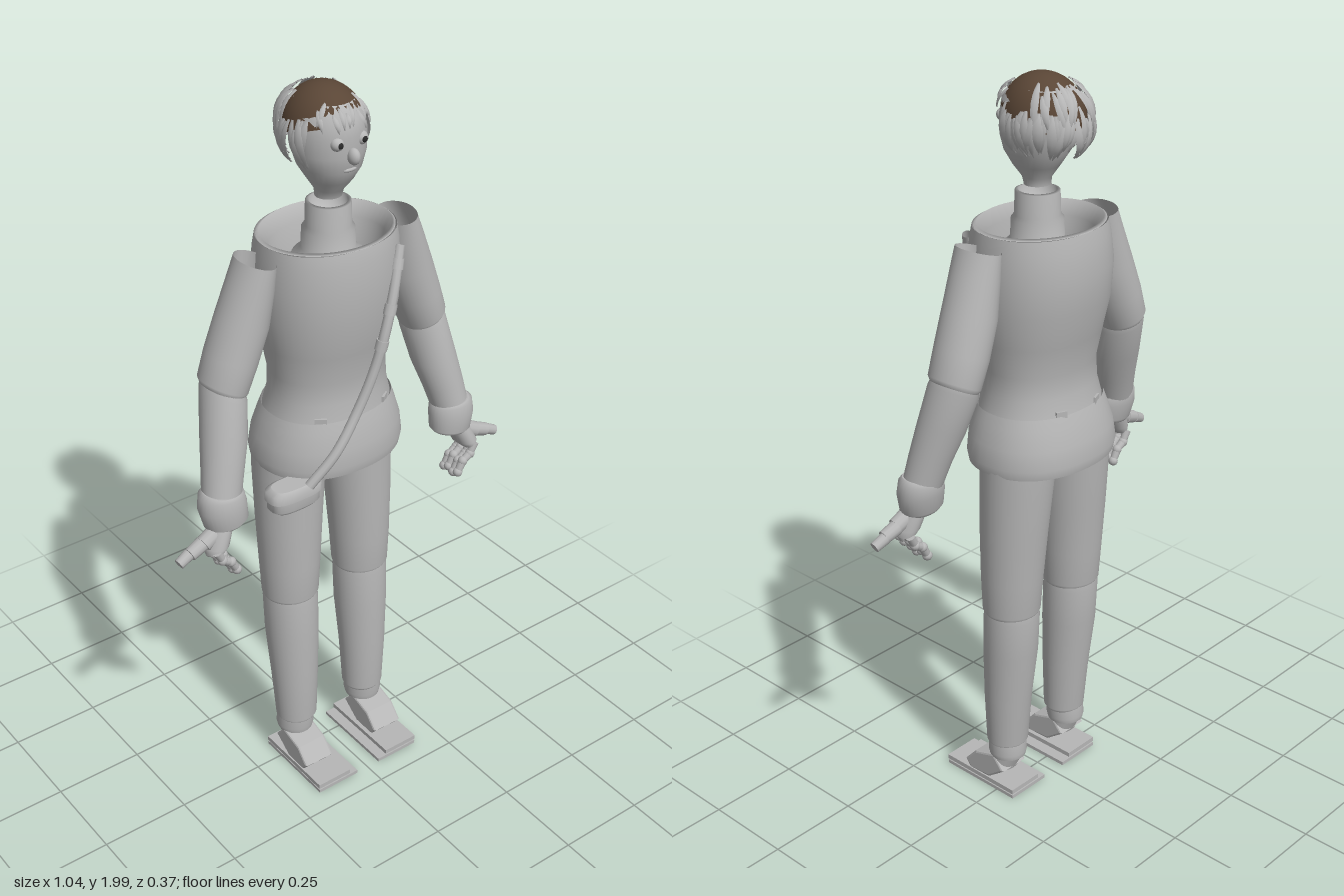
import * as THREE from 'three';

const cloth = new THREE.MeshStandardMaterial({ color: 0xb6b6b6, side: THREE.DoubleSide });
cloth.name = 'plain grey';
const brown = new THREE.MeshStandardMaterial({ color: 0x5a4636 });
brown.name = 'hair brown';
const dark = new THREE.MeshStandardMaterial({ color: 0x2a2a2a });
dark.name = 'pupil dark';

// Rings run from bottom to top: [x, y, z, radiusX, radiusZ, tilt]
function loft(rings, { n = 32, power = 2, capBottom = false, capTop = false } = {}) {
  const pos = [], idx = [];
  const addRing = ([x, y, z, rx, rz, tilt = 0]) => {
    for (let i = 0; i < n; i++) {
      const a = (i / n) * Math.PI * 2, c = Math.cos(a), s = Math.sin(a);
      const u = Math.sign(c) * Math.abs(c) ** (2 / power) * rx;
      const w = Math.sign(s) * Math.abs(s) ** (2 / power) * rz;
      pos.push(x + u * Math.cos(tilt), y + u * Math.sin(tilt), z + w);
    }
  };
  rings.forEach(addRing);
  for (let r = 0; r < rings.length - 1; r++) {
    for (let i = 0; i < n; i++) {
      const a = r * n + i, b = r * n + ((i + 1) % n);
      idx.push(a, a + n, b, b, a + n, b + n);
    }
  }
  const cap = (ring, up) => {
    const base = pos.length / 3;
    addRing(ring);
    pos.push(ring[0], ring[1], ring[2]);
    for (let i = 0; i < n; i++) {
      const a = base + i, b = base + ((i + 1) % n);
      idx.push(base + n, up ? b : a, up ? a : b);
    }
  };
  if (capBottom) cap(rings[0], false);
  if (capTop) cap(rings[rings.length - 1], true);
  const g = new THREE.BufferGeometry();
  g.setAttribute('position', new THREE.Float32BufferAttribute(pos, 3));
  g.setIndex(idx);
  g.computeVertexNormals();
  return g;
}

function add(parent, name, geometry, material = cloth) {
  const m = new THREE.Mesh(geometry, material);
  m.name = name;
  parent.add(m);
  return m;
}

// Straight tapered segment between two points
function segment(parent, name, a, b, ra, rb) {
  const p = new THREE.Vector3(...a), q = new THREE.Vector3(...b), d = q.clone().sub(p);
  const m = add(parent, name, new THREE.CylinderGeometry(rb, ra, d.length(), 12));
  m.position.copy(p).add(q).multiplyScalar(0.5);
  m.quaternion.setFromUnitVectors(new THREE.Vector3(0, 1, 0), d.normalize());
  return m;
}

function buildTorso(root) {
  const g = new THREE.Group();
  g.name = 'jacket';
  root.add(g);
  add(g, 'jacketBody', loft([
    [0, 1.15, -0.01, 0.172, 0.138], [0, 1.2, -0.008, 0.16, 0.128], [0, 1.26, -0.008, 0.158, 0.125],
    [0, 1.34, -0.008, 0.172, 0.142], [0, 1.43, -0.01, 0.187, 0.16], [0, 1.52, -0.012, 0.19, 0.165],
    [0, 1.59, -0.01, 0.185, 0.158], [0, 1.625, -0.01, 0.18, 0.15]], { n: 48, power: 2.15 }));
  add(g, 'jacketLining', loft([
    [0, 1.625, -0.01, 0.18, 0.15], [0, 1.63, -0.01, 0.172, 0.143],
    [0, 1.59, -0.005, 0.155, 0.125], [0, 1.5, 0, 0.146, 0.118]], { n: 48 }));
  add(g, 'jacketSkirt', loft([
    [0, 1.005, -0.015, 0.203, 0.163], [0, 1.03, -0.015, 0.207, 0.168], [0, 1.08, -0.013, 0.2, 0.163],
    [0, 1.13, -0.011, 0.184, 0.15], [0, 1.158, -0.01, 0.174, 0.141]], { n: 48, power: 2.2 }));
  add(g, 'pelvis', loft([[0, 1.02, -0.015, 0.19, 0.15], [0, 1.06, -0.015, 0.19, 0.15]], { capBottom: true }));
  add(g, 'neck', new THREE.LatheGeometry([
    [0.1, 1.53], [0.09, 1.56], [0.068, 1.58], [0.066, 1.63], [0.058, 1.64], [0.056, 1.7], [0.048, 1.702], [0.046, 1.66], [0, 1.66],
  ].map(p => new THREE.Vector2(...p)), 32));
  // Belt loops
  for (const a of [0.95, 2.2, 4.3, 5.1]) {
    const m = add(g, 'beltLoop', new THREE.BoxGeometry(0.03, 0.03, 0.006));
    m.position.set(Math.cos(a) * 0.172, 1.155, -0.01 + Math.sin(a) * 0.141);
    m.rotation.y = Math.PI / 2 - a;
  }
}

function buildStrap(root) {
  const path = new THREE.CatmullRomCurve3([
    [0.127, 1.59, 0.118], [0.09, 1.49, 0.145], [0.055, 1.39, 0.158], [0.025, 1.29, 0.155],
    [-0.02, 1.19, 0.15], [-0.09, 1.09, 0.152], [-0.16, 1.01, 0.135]].map(p => new THREE.Vector3(...p)));
  add(root, 'strap', new THREE.TubeGeometry(path, 40, 0.013, 10));
  for (const t of [0.05, 0.22, 0.36]) {
    const a = path.getPointAt(t), b = path.getPointAt(t + 0.04);
    segment(root, 'strapKeeper', a.toArray(), b.toArray(), 0.016, 0.016);
  }
  add(root, 'pouch', loft([
    [-0.185, 0.945, 0.1, 0.06, 0.03], [-0.185, 0.955, 0.1, 0.072, 0.037],
    [-0.185, 0.985, 0.1, 0.072, 0.037]], { power: 3, capBottom: true }));
  add(root, 'pouchFlap', loft([
    [-0.185, 0.982, 0.1, 0.078, 0.041], [-0.185, 1.005, 0.1, 0.076, 0.04],
    [-0.185, 1.012, 0.1, 0.06, 0.03]], { power: 3, capBottom: true, capTop: true }));
}

function buildArm(root, s) {
  const g = new THREE.Group();
  g.name = s > 0 ? 'leftArm' : 'rightArm';
  root.add(g);
  const side = rings => rings.map(([x, y, z, rx, rz, t]) => [s * x, y, z, rx, rz, s * t]);
  add(g, 'upperArm', loft(side([
    [0.314, 1.28, -0.013, 0.056, 0.064, 0.44], [0.311, 1.292, -0.013, 0.063, 0.071, 0.43],
    [0.285, 1.36, -0.013, 0.067, 0.073, 0.36], [0.252, 1.45, -0.01, 0.068, 0.071, 0.28],
    [0.228, 1.54, -0.006, 0.056, 0.068, 0.24], [0.213, 1.602, -0.004, 0.045, 0.066, 0.22]])));
  add(g, 'forearm', loft(side([
    [0.37, 1.01, 0.052, 0.05, 0.05, 0.15], [0.352, 1.09, 0.035, 0.055, 0.055, 0.2],
    [0.332, 1.17, 0.015, 0.06, 0.063, 0.25], [0.313, 1.27, -0.01, 0.06, 0.068, 0.4],
    [0.308, 1.3, -0.013, 0.05, 0.06, 0.42]]), { capBottom: true }));
  add(g, 'cuff', loft(side([
    [0.362, 0.945, 0.06, 0.05, 0.042, -0.12], [0.364, 0.955, 0.06, 0.06, 0.05, -0.1],
    [0.37, 1.0, 0.055, 0.065, 0.055, -0.05], [0.37, 1.03, 0.052, 0.06, 0.054, 0.05],
    [0.368, 1.038, 0.052, 0.05, 0.048, 0.1]]), { capBottom: true, capTop: true }));
  // Hand: palm, pointing finger and curled fingers
  add(g, 'palm', loft(side([
    [0.415, 0.885, 0.075, 0.02, 0.032, 0], [0.405, 0.905, 0.074, 0.032, 0.038, 0],
    [0.385, 0.95, 0.066, 0.032, 0.036, 0]]), { capBottom: true, capTop: true }));
  const finger = [[0.395, 0.94], [0.442, 0.918], [0.482, 0.903], [0.515, 0.888]];
  for (let i = 0; i < 3; i++) {
    const r = 0.024 - i * 0.004;
    segment(g, 'pointingFinger', [s * finger[i][0], finger[i][1], 0.07], [s * finger[i + 1][0], finger[i + 1][1], 0.074], r, r - 0.002);
  }
  const curl = [[0.42, 0.89], [0.405, 0.86], [0.38, 0.845], [0.364, 0.815]];
  for (let f = 0; f < 4; f++) {
    const z = 0.045 + f * 0.019, dy = f % 2 ? 0.008 : 0;
    for (let i = 0; i < 3; i++) {
      segment(g, 'curledFinger', [s * curl[i][0], curl[i][1] + dy, z], [s * curl[i + 1][0], curl[i + 1][1] + dy, z], 0.012, 0.01);
      const k = add(g, 'knuckle', new THREE.SphereGeometry(0.0135, 10, 8));
      k.position.set(s * curl[i + 1][0], curl[i + 1][1] + dy, z);
    }
  }
}

function buildLeg(root, s) {
  const g = new THREE.Group();
  g.name = s > 0 ? 'leftLeg' : 'rightLeg';
  root.add(g);
  const side = rings => rings.map(([x, ...rest]) => [s * x, ...rest]);
  add(g, 'thigh', loft(side([
    [0.118, 0.57, -0.015, 0.072, 0.07], [0.118, 0.582, -0.015, 0.078, 0.077], [0.117, 0.68, -0.017, 0.083, 0.083],
    [0.114, 0.82, -0.022, 0.09, 0.09], [0.108, 0.97, -0.028, 0.097, 0.097], [0.105, 1.05, -0.028, 0.097, 0.099]])));
  add(g, 'lowerLeg', loft(side([
    [0.117, 0.145, 0.005, 0.052, 0.05], [0.117, 0.155, 0.005, 0.058, 0.056], [0.118, 0.3, 0, 0.066, 0.064],
    [0.118, 0.45, -0.01, 0.074, 0.074], [0.118, 0.56, -0.015, 0.075, 0.075], [0.118, 0.6, -0.015, 0.068, 0.068]]), { capBottom: true }));
  add(g, 'ankleBand', loft(side([
    [0.12, 0.105, 0.002, 0.049, 0.05], [0.12, 0.12, 0.002, 0.053, 0.053], [0.119, 0.15, 0.004, 0.052, 0.052]]), { capBottom: true }));
  add(g, 'ankle', loft(side([[0.122, 0.06, 0.01, 0.042, 0.03], [0.121, 0.11, 0.003, 0.044, 0.042]]), { capBottom: true }));
  const shape = new THREE.Shape([[-0.015, 0.07], [0.035, 0.033], [0.1, 0.03], [0.114, 0.047], [0.08, 0.085], [0.015, 0.105]]
    .map(p => new THREE.Vector2(...p)));
  const foot = new THREE.ExtrudeGeometry(shape, { depth: 0.08, bevelSize: 0.006, bevelThickness: 0.006, bevelSegments: 2 });
  foot.rotateY(-Math.PI / 2).translate(s * 0.122 + 0.04, 0, 0);
  add(g, 'foot', foot);
  add(g, 'upperSole', new THREE.BoxGeometry(0.106, 0.013, 0.25)).position.set(s * 0.118, 0.022, 0.063);
  add(g, 'lowerSole', new THREE.BoxGeometry(0.132, 0.01, 0.25)).position.set(s * 0.104, 0.006, 0.063);
}

function buildHead(root) {
  const g = new THREE.Group();
  g.name = 'head';
  root.add(g);
  add(g, 'face', loft([
    [0, 1.715, 0, 0.034, 0.033], [0, 1.735, 0.002, 0.036, 0.038], [0, 1.765, 0.004, 0.056, 0.062],
    [0, 1.8, 0.002, 0.077, 0.084], [0, 1.84, 0, 0.09, 0.093], [0, 1.89, -0.006, 0.092, 0.1],
    [0, 1.93, -0.012, 0.086, 0.1], [0, 1.96, -0.018, 0.068, 0.08], [0, 1.98, -0.02, 0.03, 0.04]], { capBottom: true, capTop: true }));
  const nose = add(g, 'nose', new THREE.SphereGeometry(0.016, 16, 12));
  nose.position.set(0, 1.845, 0.098);
  nose.scale.set(0.9, 1.3, 1.2);
  const mouth = add(g, 'mouth', new THREE.SphereGeometry(0.02, 16, 8));
  mouth.position.set(0, 1.808, 0.083);
  mouth.scale.set(1, 0.3, 0.4);
  for (const s of [-1, 1]) {
    const eye = add(g, 'eye', new THREE.SphereGeometry(0.017, 16, 12));
    eye.position.set(s * 0.035, 1.878, 0.08);
    const pupil = add(g, 'pupil', new THREE.SphereGeometry(0.008, 12, 8), dark);
    pupil.position.set(s * 0.035, 1.878, 0.094);
    pupil.scale.z = 0.6;
  }
  // Brown scalp, tipped back from the forehead
  const scalp = add(g, 'scalp', new THREE.SphereGeometry(1, 32, 16, 0, Math.PI * 2, 0, 1.5), brown);
  scalp.scale.set(0.097, 0.11, 0.112);
  scalp.position.set(0, 1.882, -0.018);
  scalp.rotation.x = -0.3;

  // Loose locks laid over the scalp
  let seed = 7;
  const rnd = () => (seed = (seed * 16807) % 2147483647) / 2147483647;
  const lock = (phi, t0, t1, width, lift) => {
    const pos = [], idx = [], steps = 7, swing = (rnd() - 0.5) * 0.5;
    for (let i = 0; i <= steps; i++) {
      const t = i / steps, th = t0 + (t1 - t0) * t;
      const w = width * Math.sin(Math.PI * (0.12 + 0.86 * t)) / Math.max(0.35, Math.sin(th));
      for (let k = -1; k <= 1; k++) {
        const p = phi + swing * t + k * w, r = 1.01 + lift * Math.sin(Math.PI * (0.1 + 0.7 * t)) + (k ? 0 : 0.035);
        pos.push(0.094 * r * Math.sin(th) * Math.sin(p), 1.882 + 0.108 * r * Math.cos(th), -0.02 + 0.118 * r * Math.sin(th) * Math.cos(p));
      }
      if (i < steps) for (let k = 0; k < 2; k++) {
        const a = i * 3 + k;
        idx.push(a, a + 3, a + 1, a + 1, a + 3, a + 4);
      }
    }
    const geo = new THREE.BufferGeometry();
    geo.setAttribute('position', new THREE.Float32BufferAttribute(pos, 3));
    geo.setIndex(idx);
    geo.computeVertexNormals();
    add(g, 'hairLock', geo);
  };
  // Back and side locks hang low, crown locks are sparse, fringe is short
  for (let i = 0; i < 44; i++) lock(1.15 + (i / 43) * 3.98, 1.15 + rnd() * 0.3, 2.0 + rnd() * 0.35, 0.07 + rnd() * 0.05, 0.08 + rnd() * 0.08);
  for (let i = 0; i < 16; i++) lock(2.0 + (i / 15) * 2.28, 0.5 + rnd() * 0.4, 1.5 + rnd() * 0.3, 0.08, 0.08 + rnd() * 0.06);
  for (let i = 0; i < 10; i++) lock(-0.9 + i * 0.2, 0.65 + rnd() * 0.35, 1.2 + rnd() * 0.2, 0.06, 0.06 + rnd() * 0.05);
}

export function createModel() {
  const root = new THREE.Group();
  root.name = 'figure';
  buildTorso(root);
  buildStrap(root);
  for (const s of [-1, 1]) {
    buildArm(root, s);
    buildLeg(root, s);
  }
  buildHead(root);
  return root;
}
